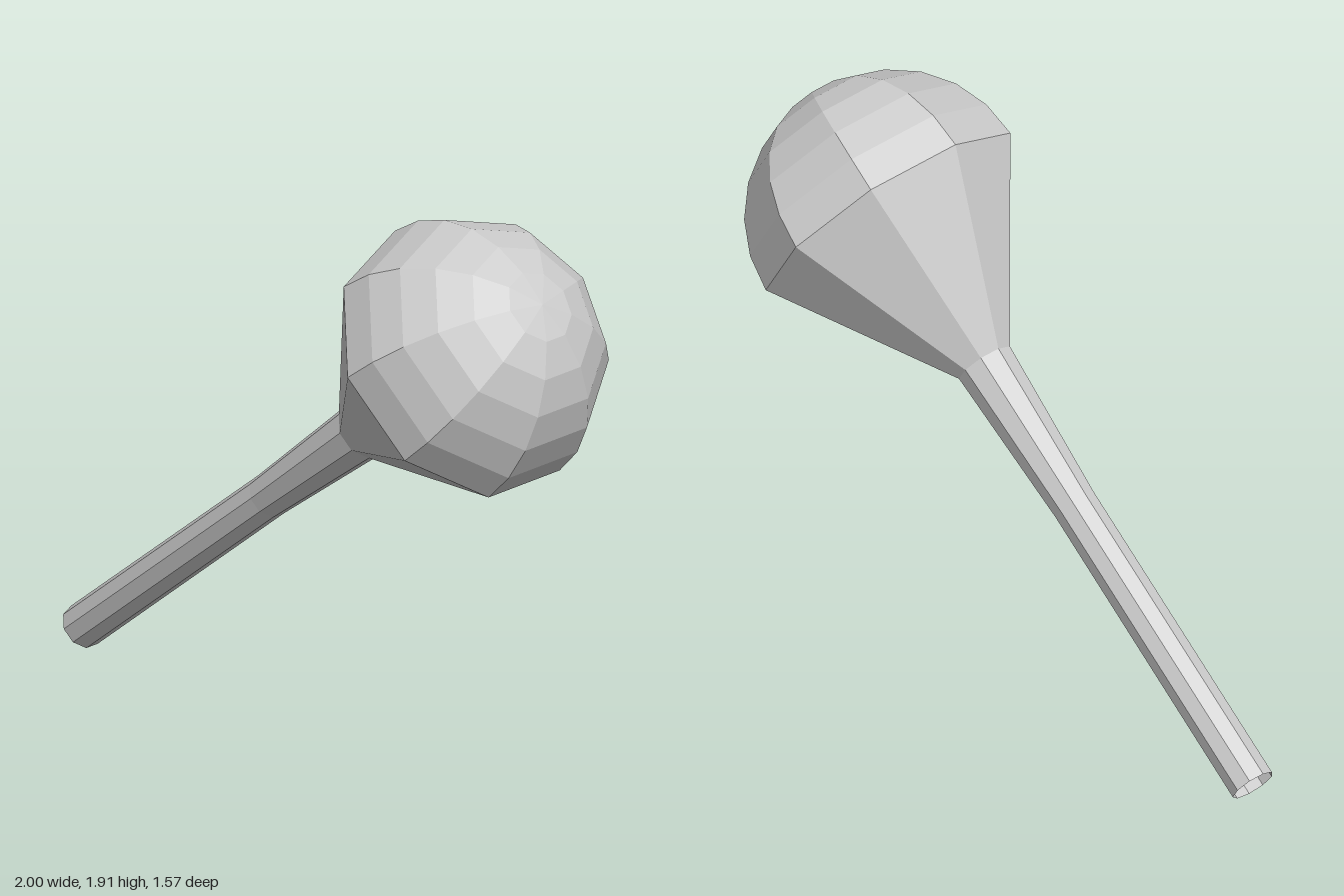
import * as THREE from 'three';

const SIDES = 9;
const HEAD = 2.26;   // distance along the axis from the shaft's open end to the widest ring
const R = 0.482;     // radius of the rounded head

export function createModel() {
  const group = new THREE.Group();
  group.name = 'roundHeadedClub';
  const material = new THREE.MeshStandardMaterial({
    color: 0xcccccc, flatShading: true, side: THREE.DoubleSide,
  });

  // each part is a nine-sided turned piece: [radius, height] pairs along the axis
  const turned = (name, profile) => {
    const points = profile.map(([r, h]) => new THREE.Vector2(r, h));
    const mesh = new THREE.Mesh(new THREE.LatheGeometry(points, SIDES), material);
    mesh.name = name;
    group.add(mesh);
  };

  // thin hollow shaft, widening slightly towards the head
  turned('shaft', [[0.077, 0], [0.076, 1.11], [0.1, 1.675]]);

  // cone flaring out to the widest ring
  turned('flare', [[0.1, 1.675], [R, HEAD]]);

  // half-sphere head in bands of 15 degrees
  const dome = [];
  for (let i = 0; i <= 6; i++) {
    const a = (i * Math.PI) / 12;
    dome.push([i === 6 ? 0 : R * Math.cos(a), HEAD + R * Math.sin(a)]);
  }
  turned('dome', dome);

  // lean the axis up, to the left and forward, with a corner of the ring along "corner"
  const axis = new THREE.Vector3(0.651, 0.607, 0.4555).normalize();
  const corner = new THREE.Vector3(-0.365, 0.278, 0.141);
  corner.addScaledVector(axis, -corner.dot(axis)).normalize();
  const sideways = new THREE.Vector3().crossVectors(axis, corner);
  group.quaternion.setFromRotationMatrix(new THREE.Matrix4().makeBasis(sideways, axis, corner));
  group.position.set(-0.943, 0.061, -0.72);
  return group;
}
